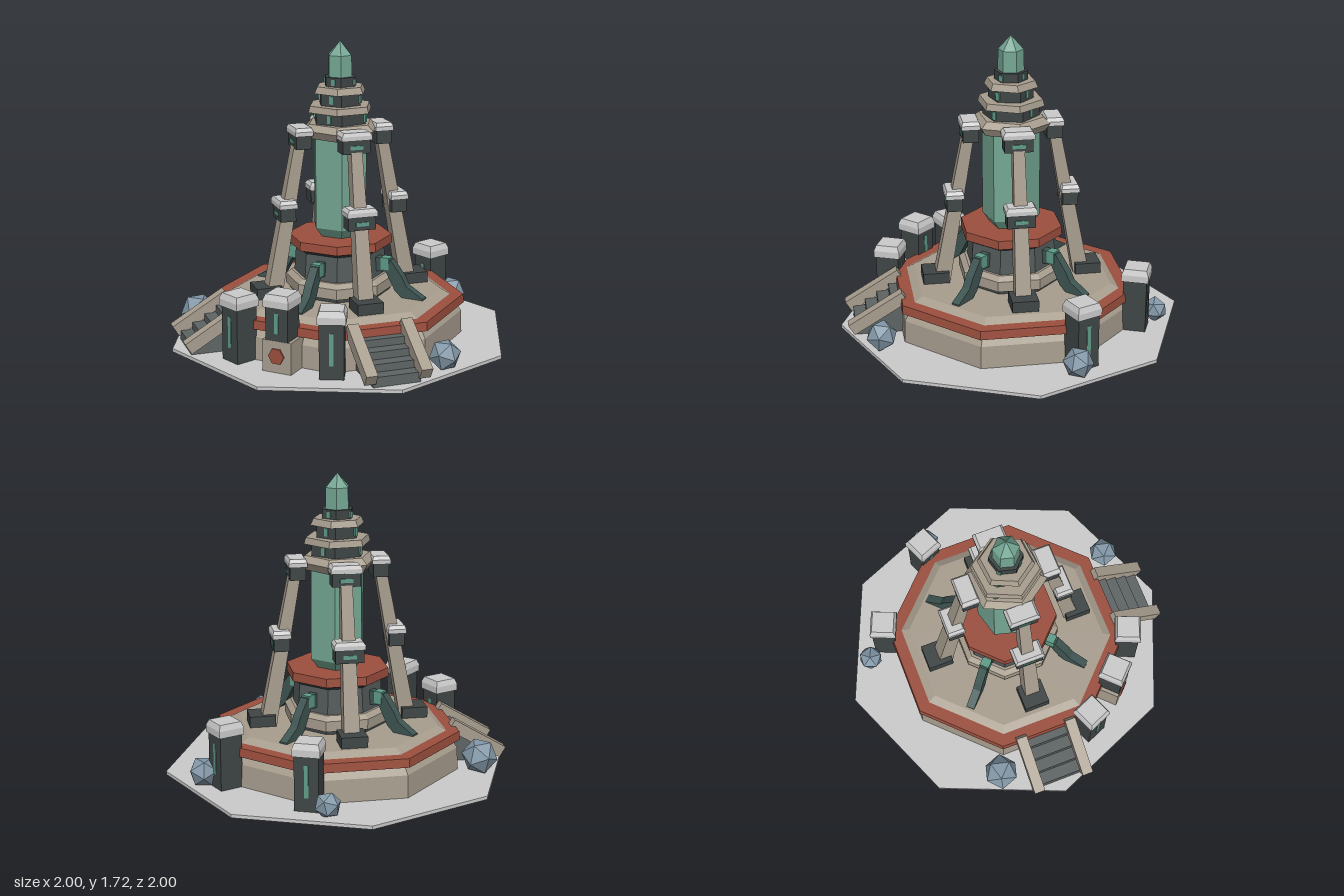
import * as THREE from 'three';

const mat = (color) => new THREE.MeshStandardMaterial({ color, flatShading: true });
const M = {
  grey: mat(0xcccccc), stone: mat(0xa89e8f), red: mat(0x9c4f3e), dark: mat(0x3f4545),
  step: mat(0x5e6464), core: mat(0x545b5b), teal: mat(0x75a794), glow: mat(0x5f9c88), pipe: mat(0x3e5552), rock: mat(0x8398a8),
};
const OCT = Math.PI / 8, HEX = Math.PI / 6;
const ap = (a) => a / Math.cos(OCT); // octagon apothem to radius

function add(parent, name, geometry, material, x = 0, y = 0, z = 0) {
  const mesh = new THREE.Mesh(geometry, material);
  mesh.name = name;
  mesh.position.set(x, y, z);
  parent.add(mesh);
  return mesh;
}

// Upright prism or frustum between two heights
function prism(parent, name, sides, rBottom, rTop, y0, y1, material, turn = 0) {
  const g = new THREE.CylinderGeometry(rTop, rBottom, y1 - y0, sides);
  g.rotateY(turn);
  return add(parent, name, g, material, 0, (y0 + y1) / 2, 0);
}

const box = (parent, name, w, h, d, material, x, y, z) =>
  add(parent, name, new THREE.BoxGeometry(w, h, d), material, x, y, z);

// Group whose +z points outward at the given angle from the front
function spoke(parent, name, angle) {
  const g = new THREE.Group();
  g.name = name;
  g.rotation.y = angle;
  parent.add(g);
  return g;
}

// Block with a bevelled grey cap on top
function cap(parent, w, d, y0, y1, z) {
  const mid = y0 + (y1 - y0) * 0.55;
  box(parent, 'capSlab', w, mid - y0, d, M.grey, 0, (y0 + mid) / 2, z);
  const g = new THREE.CylinderGeometry(0.42 * Math.SQRT2, 0.5 * Math.SQRT2, y1 - mid, 4);
  g.rotateY(Math.PI / 4);
  g.scale(w, 1, d);
  add(parent, 'capBevel', g, M.grey, 0, (mid + y1) / 2, z);
}

// Pillar with glowing strips on its outward, inward and side faces
function pillar(parent, name, x, z, y0, y1, turn) {
  const p = spoke(parent, name, turn);
  p.position.set(x, 0, z);
  box(p, 'pillarBody', 0.135, y1 - y0, 0.135, M.dark, 0, (y0 + y1) / 2, 0);
  cap(p, 0.155, 0.155, y1 - 0.005, y1 + 0.068, 0);
  const h = (y1 - y0) * 0.58, y = y0 + (y1 - y0) * 0.54;
  box(p, 'pillarLight', 0.024, h, 0.141, M.glow, 0, y, 0);
}

function leg(parent, angle) {
  const g = spoke(parent, 'supportLeg', angle);
  const r0 = 0.41, r1 = 0.235, y0 = 0.27, y1 = 1.22;
  const beam = new THREE.CylinderGeometry(0.031 * Math.SQRT2, 0.046 * Math.SQRT2, Math.hypot(r0 - r1, y1 - y0), 4);
  beam.rotateY(Math.PI / 4);
  add(g, 'legBeam', beam, M.stone, 0, (y0 + y1) / 2, (r0 + r1) / 2).rotation.x = -Math.atan2(r0 - r1, y1 - y0);
  box(g, 'legFoot', 0.15, 0.07, 0.15, M.dark, 0, 0.305, 0.445);
  // Lower and upper clamps
  for (const [r, y] of [[0.333, 0.72], [0.238, 1.13]]) {
    box(g, 'clampBlock', 0.16, 0.08, 0.09, M.dark, 0, y + 0.04, r);
    cap(g, 0.177, 0.105, y + 0.075, y + 0.12, r);
    box(g, 'clampLight', 0.075, 0.022, 0.01, M.glow, 0, y + 0.035, r + 0.045);
  }
}

// Bent pipe from the core down to the deck
function conduit(parent, angle) {
  const g = spoke(parent, 'conduit', angle);
  const pts = [[0.2, 0.41], [0.3, 0.42], [0.36, 0.31], [0.41, 0.27], [0.53, 0.27], [0.53, 0.285],
    [0.43, 0.345], [0.4, 0.4], [0.33, 0.49], [0.2, 0.5]];
  const shape = new THREE.Shape(pts.map(([r, y]) => new THREE.Vector2(r, y)));
  const geo = new THREE.ExtrudeGeometry(shape, { depth: 0.05, bevelEnabled: false });
  geo.translate(0, 0, -0.025);
  geo.rotateY(-Math.PI / 2);
  add(g, 'conduitPipe', geo, M.pipe);
  box(g, 'conduitCollar', 0.056, 0.07, 0.05, M.glow, 0, 0.465, 0.295);
}

function stairs(parent, angle) {
  const g = spoke(parent, 'stairs', angle);
  for (let i = 0; i < 4; i++) {
    const h = 0.19 - i * 0.043;
    box(g, 'step', 0.27, h, 0.075, M.step, 0, 0.015 + h / 2, 0.675 + i * 0.07);
  }
  for (const s of [-1, 1]) {
    box(g, 'stairRail', 0.065, 0.07, 0.36, M.stone, s * 0.155, 0.165, 0.795).rotation.x = Math.atan2(0.18, 0.3);
  }
}

export function createModel() {
  const root = new THREE.Group();
  root.name = 'crystalTower';

  // Ground and octagonal platform
  prism(root, 'ground', 8, 1, 1, 0, 0.02, M.grey);
  prism(root, 'platformBase', 8, ap(0.655), ap(0.65), 0.02, 0.15, M.stone, OCT);
  prism(root, 'platformShoulder', 8, ap(0.65), ap(0.62), 0.15, 0.2, M.stone, OCT);
  prism(root, 'platformBand', 8, ap(0.665), ap(0.66), 0.2, 0.25, M.red, OCT);
  prism(root, 'deck', 8, ap(0.59), ap(0.545), 0.25, 0.277, M.stone, OCT);

  // Pedestal
  prism(root, 'pedestalFoot', 8, ap(0.27), ap(0.27), 0.27, 0.305, M.dark, OCT);
  prism(root, 'pedestalRing', 8, ap(0.29), ap(0.29), 0.3, 0.36, M.stone, OCT);
  prism(root, 'pedestalRingBevel', 8, ap(0.29), ap(0.26), 0.36, 0.385, M.stone, OCT);
  prism(root, 'pedestalCore', 8, ap(0.245), ap(0.235), 0.38, 0.53, M.core, OCT);
  prism(root, 'pedestalCollar', 8, ap(0.235), ap(0.265), 0.53, 0.555, M.dark, OCT);
  prism(root, 'pedestalTop', 8, ap(0.278), ap(0.275), 0.555, 0.605, M.red, OCT);

  // Main crystal
  prism(root, 'crystalBase', 6, 0.12, 0.165, 0.6, 0.66, M.teal, HEX);
  prism(root, 'crystalBody', 6, 0.165, 0.165, 0.66, 1.19, M.teal, HEX);

  // Crown of stacked hexagonal tiers, the stone rims slightly twisted
  const twist = HEX - 0.16;
  prism(root, 'crownRim', 6, 0.2, 0.228, 1.18, 1.225, M.stone, twist);
  prism(root, 'crownRim', 6, 0.228, 0.19, 1.225, 1.26, M.stone, twist);
  prism(root, 'crownRim', 6, 0.195, 0.185, 1.325, 1.362, M.stone, twist);
  prism(root, 'crownRim', 6, 0.157, 0.14, 1.43, 1.468, M.stone, twist);
  const tiers = [[0.16, 1.255, 1.33], [0.128, 1.36, 1.435], [0.095, 1.465, 1.52]];
  for (const [r, y0, y1] of tiers) {
    prism(root, 'crownTier', 6, r, r, y0, y1, M.dark, HEX);
    const y = (y0 + y1) / 2, h = (y1 - y0) * 0.6;
    box(root, 'crownLight', 0.024, h, r * 1.732 + 0.01, M.glow, 0, y, 0);
    box(root, 'crownLight', r * 2 + 0.006, h, 0.024, M.glow, 0, y, 0);
  }
  prism(root, 'spireCrystal', 6, 0.075, 0.072, 1.515, 1.64, M.teal, HEX);
  const tip = new THREE.ConeGeometry(0.072, 0.08, 6);
  tip.rotateY(HEX);
  add(root, 'spireTip', tip, M.teal, 0, 1.68, 0);

  // Legs on the diagonals, conduits on the axes, stairs at the front corners
  for (let i = 0; i < 4; i++) {
    leg(root, Math.PI / 4 + i * Math.PI / 2);
    conduit(root, i * Math.PI / 2);
  }
  for (const s of [-1, 1]) stairs(root, s * Math.PI / 4);

  // Pillars around the rim
  for (const s of [-1, 1]) {
    pillar(root, 'frontPillar', s * 0.285, 0.68, 0.02, 0.335, s * OCT);
    pillar(root, 'backPillar', s * 0.285, -0.685, 0.02, 0.335, Math.PI - s * OCT);
  }
  pillar(root, 'gatePillar', 0, 0.71, 0.19, 0.39, 0);
  box(root, 'gatePlinth', 0.175, 0.18, 0.16, M.stone, 0, 0.11, 0.7);
  const badge = new THREE.CylinderGeometry(0.048, 0.048, 0.012, 6);
  badge.rotateY(HEX);
  badge.rotateX(Math.PI / 2);
  add(root, 'plinthHexagon', badge, M.red, 0, 0.115, 0.782);

  // Loose rocks
  for (const [x, y, z, r] of [[-0.775, 0.112, 0.31, 0.105], [0.79, 0.1, 0.325, 0.09],
    [-0.435, 0.08, -0.725, 0.075], [0.4, 0.095, -0.74, 0.088]]) {
    add(root, 'rock', new THREE.IcosahedronGeometry(r, 0), M.rock, x, y, z).rotation.set(x * 2, z * 5, 0.3);
  }
  return root;
}
